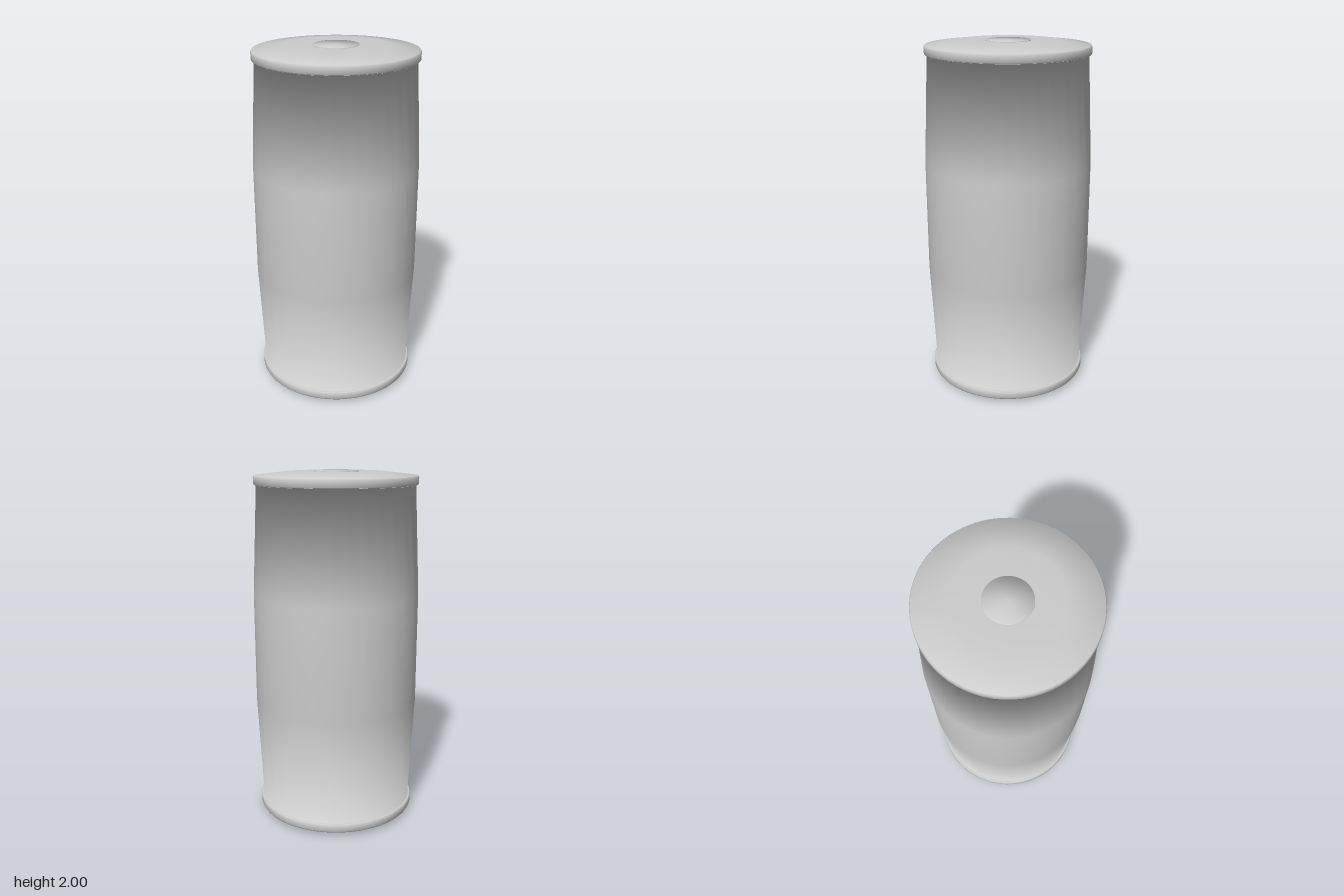
import * as THREE from 'three';

const material = new THREE.MeshStandardMaterial({ color: 0xcccccc, side: THREE.DoubleSide });

// Revolves a bottom-to-top profile; normals weigh both neighbouring profile edges equally
function revolve(name, profile, segments) {
  const points = profile.map(([r, y]) => new THREE.Vector2(r, y));
  const edges = points.slice(1).map((p, i) => new THREE.Vector2(p.y - points[i].y, points[i].x - p.x).normalize());
  const normals = points.map((p, j) => {
    const a = edges[Math.max(j - 1, 0)];
    const b = edges[Math.min(j, edges.length - 1)];
    return a.clone().add(b).normalize();
  });
  const geometry = new THREE.LatheGeometry(points, segments);
  const normal = geometry.attributes.normal;
  for (let i = 0; i <= segments; i++) {
    const angle = (i / segments) * Math.PI * 2;
    normals.forEach((n, j) =>
      normal.setXYZ(i * points.length + j, n.x * Math.sin(angle), n.y, n.x * Math.cos(angle)));
  }
  const mesh = new THREE.Mesh(geometry, material);
  mesh.name = name;
  return mesh;
}

const flip = (profile) => profile.map(([r, y]) => [r, 2 - y]).reverse();

export function createModel() {
  const group = new THREE.Group();
  group.name = 'barrelCan';

  // Bulging body with a small outward lip at each end
  const body = [
    [0.453, 0.075], [0.443, 0.075], [0.472, 0.68],
    [0.472, 1.32], [0.443, 1.925], [0.453, 1.925],
  ];
  group.add(revolve('body', body, 32));

  // Rolled rim and shallow sloping lid, with a thin raised disc in the middle
  const lid = [
    [0.443, 1.926], [0.454, 1.926], [0.458, 1.931], [0.458, 1.967],
    [0.453, 1.975], [0.28, 1.996], [0.125, 1.996],
  ];
  const disc = [[0.125, 1.996], [0.125, 2], [0, 2]];
  group.add(revolve('topLid', lid, 64));
  group.add(revolve('topDisc', disc, 64));
  group.add(revolve('bottomLid', flip(lid), 64));
  group.add(revolve('bottomDisc', flip(disc), 64));
  return group;
}
